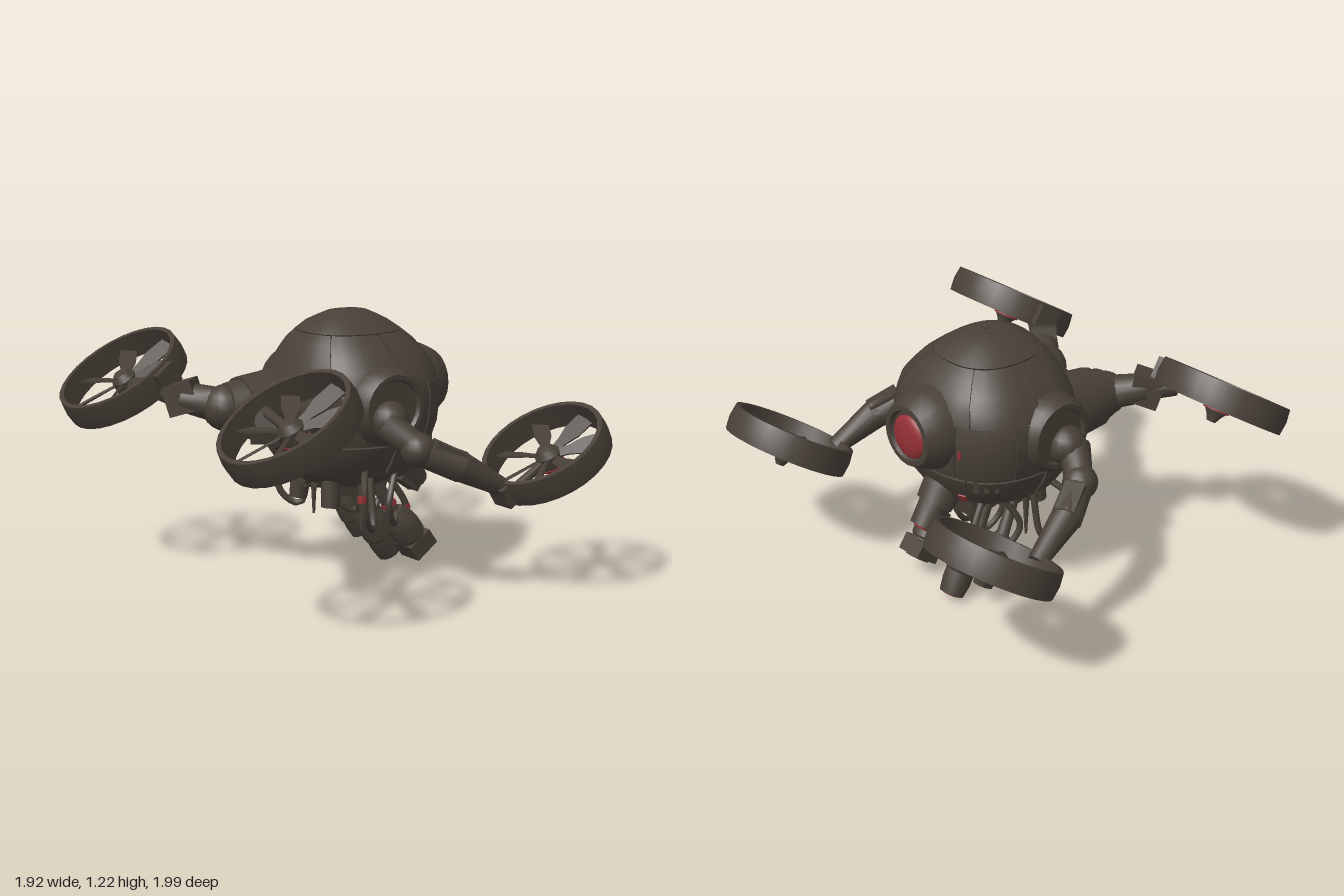
import * as THREE from 'three';
import { toCreasedNormals } from 'three/addons/utils/BufferGeometryUtils.js';

const hull = new THREE.MeshStandardMaterial({ color: 0x484038 });
hull.name = 'dark hull';
const red = new THREE.MeshStandardMaterial({ color: 0x943135 });
red.name = 'red lens';

const V = (x, y, z) => new THREE.Vector3(x, y, z);
const UP = V(0, 1, 0);

function add(parent, name, geo, mat = hull, crease = 0.6) {
  const mesh = new THREE.Mesh(toCreasedNormals(geo, crease), mat);
  mesh.name = name;
  parent.add(mesh);
  return mesh;
}

// Lathe of [radius, height] pairs, stood along the line from a towards b
function turned(parent, name, a, b, profile, mat = hull, sides = 16) {
  const mesh = add(parent, name, new THREE.LatheGeometry(profile.map(p => new THREE.Vector2(p[0], p[1])), sides), mat);
  mesh.position.copy(a);
  mesh.quaternion.setFromUnitVectors(UP, b.clone().sub(a).normalize());
  return mesh;
}

// Solid tapered rod between two points
function rod(parent, name, a, b, r0, r1 = r0, mat = hull, sides = 12) {
  const L = a.distanceTo(b);
  return turned(parent, name, a, b, [[0, 0], [r0, 0], [r1, L], [0, L]], mat, sides);
}

function ball(parent, name, p, r) {
  add(parent, name, new THREE.SphereGeometry(r, 16, 10)).position.copy(p);
}

function box(parent, name, p, size, rot = [0, 0, 0]) {
  const mesh = add(parent, name, new THREE.BoxGeometry(...size));
  mesh.position.copy(p);
  mesh.rotation.set(...rot);
}

function hose(parent, name, pts, r) {
  add(parent, name, new THREE.TubeGeometry(new THREE.CatmullRomCurve3(pts), 20, r, 7), hull, 1.2);
}

// Body sections from top to bottom: height, rear x, front x, half width
const sections = [
  [1.21, 0.09, 0.11, 0.005], [1.208, 0.01, 0.18, 0.07], [1.17, -0.08, 0.26, 0.15],
  [1.1, -0.15, 0.355, 0.25], [1.0, -0.2, 0.435, 0.345], [0.88, -0.24, 0.465, 0.395],
  [0.75, -0.26, 0.465, 0.385], [0.62, -0.25, 0.43, 0.345], [0.53, -0.19, 0.37, 0.29],
  [0.45, -0.11, 0.27, 0.18], [0.43, 0.09, 0.1, 0.005],
];

function bodyPoint(t, a, offset) {
  const i = Math.min(Math.floor(t), sections.length - 2);
  const [y, x0, x1, w] = sections[i].map((v, k) => THREE.MathUtils.lerp(v, sections[i + 1][k], t - i));
  const round = v => Math.sign(v) * Math.abs(v) ** 0.82;
  const p = V((x0 + x1) / 2 + (x1 - x0) / 2 * round(Math.cos(a)), y, w * round(Math.sin(a)));
  return p.addScaledVector(p.clone().sub(V(0.1, 0.82, 0)).normalize(), offset);
}

// Patch of the body surface, raised by an offset, with a skirt down to the hull
function panel(parent, name, t0, t1, a0, a1, offset, mat = hull) {
  const rows = Math.max(1, Math.round((t1 - t0) * 2)), cols = Math.max(2, Math.round((a1 - a0) / 0.17));
  const pos = [], index = [], W = cols + 3;
  for (let i = -1; i <= rows + 1; i++) for (let j = -1; j <= cols + 1; j++) {
    const ci = THREE.MathUtils.clamp(i, 0, rows), cj = THREE.MathUtils.clamp(j, 0, cols);
    const edge = ci !== i || cj !== j;
    const p = bodyPoint(t0 + (t1 - t0) * ci / rows, a0 + (a1 - a0) * cj / cols, edge && offset ? -0.01 : offset);
    pos.push(p.x, p.y, p.z);
  }
  for (let i = 0; i < rows + 2; i++) for (let j = 0; j < cols + 2; j++) {
    const k = i * W + j;
    index.push(k, k + 1, k + W + 1, k, k + W + 1, k + W);
  }
  const geo = new THREE.BufferGeometry();
  geo.setAttribute('position', new THREE.Float32BufferAttribute(pos, 3));
  geo.setIndex(index);
  add(parent, name, geo, mat, 0.45);
}

// Ducted fan; strutAngle is the heading of its support in the fan plane
function rotor(parent, name, pos, R, strutAngle) {
  const g = new THREE.Group();
  g.name = name;
  g.position.copy(pos);
  g.rotation.z = 0.56;
  parent.add(g);
  const h = 0.06, ri = R - 0.03;
  add(g, 'duct', new THREE.LatheGeometry([[ri, -h], [R - 0.006, -h], [R, 0], [R - 0.008, h], [ri, h], [ri, -h]]
    .map(p => new THREE.Vector2(...p)), 28));
  turned(g, 'hub', V(0, -0.125, 0), V(0, 1, 0), [[0, 0], [0.02, 0], [0.035, 0.03], [0.058, 0.06], [0.058, 0.12], [0.035, 0.15], [0, 0.155]]);
  turned(g, 'hubBand', V(0, -0.074, 0), V(0, 1, 0), [[0.045, 0], [0.061, 0.001], [0.062, 0.011], [0.05, 0.012]], red);
  const shape = new THREE.Shape([[0.03, -0.018], [0.1, -0.024], [0.17, -0.042], [ri + 0.004, -0.042],
    [ri + 0.006, 0.036], [0.17, 0.036], [0.1, 0.02], [0.03, 0.018]].map(p => new THREE.Vector2(...p)));
  for (let i = 0; i < 7; i++) {
    const holder = new THREE.Group();
    holder.name = 'bladeHolder';
    holder.rotation.y = strutAngle + (i + 0.5) * Math.PI * 2 / 7;
    g.add(holder);
    const blade = add(holder, 'blade', new THREE.ExtrudeGeometry(shape, { depth: 0.01, bevelEnabled: false }));
    blade.rotation.x = Math.PI / 2 + 0.5;
    blade.position.y = -0.015;
  }
  const dir = V(Math.cos(strutAngle), 0, -Math.sin(strutAngle));
  rod(g, 'strut', dir.clone().multiplyScalar(R).setY(-0.02), V(0, -0.03, 0), 0.024, 0.018);
  box(g, 'ductClamp', dir.clone().multiplyScalar(R), [0.05, 0.1, 0.11], [0, strutAngle, 0]);
}

// Hanging probe with a stepped barrel
function probe(parent, name, a, b, r, tip) {
  const L = a.distanceTo(b);
  turned(parent, name, a, b, [[0, 0], [r * 0.55, 0], [r * 0.9, L * 0.2], [r, L * 0.35], [r, L * 0.6],
    [r * 0.88, L * 0.64], [r * 0.88, L * 0.8], [r * 0.75, L], [0, L]], hull, 12);
  if (tip) rod(parent, name + 'Lens', b, b.clone().add(b.clone().sub(a).setLength(0.006)), r * 0.55, r * 0.5, red);
}

export function createModel() {
  const model = new THREE.Group();
  model.name = 'quadrotorDrone';

  // Hull and raised armour plates
  panel(model, 'body', 0, 10, 0, Math.PI * 2, 0);
  const gap = 0.014, P = Math.PI;
  panel(model, 'crownPlate', 0, 2.6, 0, P * 2, 0.012);
  [[-0.6, 0.6], [0.6, 1.57], [1.57, 2.5], [2.5, 3.78], [3.78, 4.71], [4.71, 5.68]].forEach(([a, b]) =>
    panel(model, 'upperPlate', 2.64, 4.6, a + gap, b - gap, 0.012));
  for (let i = 0; i < 8; i++) panel(model, 'waistPlate', 4.64, 6.6, (i - 0.5) * P / 4 + gap, (i + 0.5) * P / 4 - gap, 0.01);
  for (let i = 0; i < 6; i++) panel(model, 'lowerPlate', 6.65, 8, (i - 0.5) * P / 3 + gap, (i + 0.5) * P / 3 - gap, 0.012);
  panel(model, 'sensorLight', 7.55, 7.97, -0.46, -0.34, 0.017, red);
  panel(model, 'cheekLight', 5.45, 5.75, -0.475, -0.44, 0.014, red);

  // Rear housing between the shoulders
  turned(model, 'rearHousing', V(-0.15, 0.79, 0), V(-1, 0.79, 0), [[0, 0], [0.17, 0], [0.15, 0.15], [0.1, 0.21], [0, 0.225]]);

  // Main eye
  turned(model, 'eyeHousing', V(0.38, 0.86, 0), V(1.38, 0.86, 0),
    [[0.19, 0], [0.185, 0.09], [0.165, 0.14], [0.14, 0.185], [0.115, 0.187], [0.105, 0.165], [0, 0.165]], hull, 20);
  const eye = add(model, 'eyeLens', new THREE.SphereGeometry(0.1, 24, 14), red);
  eye.position.set(0.545, 0.85, 0);
  eye.scale.x = 0.32;

  // Chin camera
  rod(model, 'chinMount', V(0.3, 0.62, 0), V(0.42, 0.47, 0), 0.11, 0.085);
  rod(model, 'chinBarrel', V(0.4, 0.49, 0), V(0.49, 0.38, 0), 0.075, 0.06);
  rod(model, 'chinLens', V(0.49, 0.38, 0), V(0.496, 0.373, 0), 0.042, 0.036, red);
  box(model, 'chinBracket', V(0.43, 0.4, 0), [0.12, 0.06, 0.1], [0, 0, -0.6]);

  for (const s of [1, -1]) {
    const side = s > 0 ? 'left' : 'right';
    const q = (x, y, z) => V(x, y, z * s);

    // Vent slots on the cheeks
    for (let i = 0; i < 3; i++) box(model, 'ventFin', q(0.38 - i * 0.035, 0.65, 0.24 + i * 0.027), [0.02, 0.08, 0.02], [0, -s * 0.8, 0]);

    // Front shoulder and arm
    turned(model, side + 'ShoulderDisc', q(0.05, 0.84, 0.34), q(0.05, 0.84, 1),
      [[0, 0], [0.18, 0], [0.17, 0.06], [0.15, 0.09], [0.13, 0.09], [0.12, 0.075], [0, 0.075]], hull, 20);
    ball(model, side + 'ShoulderBall', q(0.02, 0.79, 0.42), 0.088);
    rod(model, side + 'FrontUpperArm', q(-0.01, 0.78, 0.44), q(0.07, 0.69, 0.55), 0.07, 0.062);
    ball(model, side + 'FrontElbow', q(0.07, 0.68, 0.56), 0.078);
    rod(model, side + 'FrontForearm', q(0.07, 0.68, 0.56), q(0.24, 0.6, 0.65), 0.065, 0.07);
    rod(model, side + 'FrontWrist', q(0.22, 0.61, 0.64), q(0.44, 0.49, 0.685), 0.07, 0.042);
    box(model, side + 'ForearmGuard', q(0.18, 0.65, 0.62), [0.15, 0.09, 0.09], [0, -s * 0.45, -0.45]);
    rotor(model, side + 'FrontRotor', q(0.685, 0.615, 0.69), 0.293, P);

    // Rear shoulder and arm
    rod(model, side + 'RearShoulder', q(-0.12, 0.8, 0.17), q(-0.37, 0.795, 0.175), 0.165, 0.14, hull, 18);
    rod(model, side + 'RearCollar', q(-0.36, 0.795, 0.175), q(-0.44, 0.8, 0.185), 0.132, 0.112, hull, 18);
    ball(model, side + 'RearJoint', q(-0.43, 0.8, 0.195), 0.105);
    rod(model, side + 'RearUpperArm', q(-0.45, 0.81, 0.22), q(-0.56, 0.84, 0.34), 0.08, 0.068);
    box(model, side + 'RearElbow', q(-0.56, 0.84, 0.34), [0.14, 0.14, 0.12], [0, s * 0.85, 0.3]);
    rod(model, side + 'RearWrist', q(-0.56, 0.84, 0.34), q(-0.63, 0.87, 0.45), 0.058, 0.05);
    rotor(model, side + 'RearRotor', q(-0.675, 0.89, 0.689), 0.307, s * 1.35);

    // Hanging side hoses
    hose(model, side + 'SideHose', [q(0.0, 0.56, 0.27), q(-0.06, 0.48, 0.35), q(-0.04, 0.33, 0.34), q(0.03, 0.28, 0.29), q(0.05, 0.5, 0.24)], 0.016);
    rod(model, side + 'HoseBand', q(-0.073, 0.455, 0.352), q(-0.075, 0.425, 0.354), 0.02, 0.02, red);
    hose(model, side + 'FrontHose', [q(0.2, 0.5, 0.22), q(0.14, 0.36, 0.26), q(0.2, 0.26, 0.22), q(0.24, 0.32, 0.18)], 0.015);
    hose(model, side + 'InnerHose', [q(0.1, 0.46, 0.12), q(0.1, 0.33, 0.08), q(0.17, 0.27, 0.06), q(0.24, 0.34, 0.05), q(0.26, 0.48, 0.08)], 0.014);
    hose(model, side + 'ToolHose', [q(0.2, 0.5, 0.1), q(0.28, 0.4, 0.13), q(0.33, 0.3, 0.14), q(0.33, 0.2, 0.13)], 0.016);
    rod(model, side + 'Antenna', q(0.04, 0.48, 0.19), q(0.04, 0.25, 0.19), 0.018, 0.006);
    rod(model, side + 'RearCanister', q(-0.07, 0.52, 0.12), q(-0.09, 0.36, 0.13), 0.05, 0.04);
    box(model, side + 'BellyBlock', q(0.02, 0.44, 0.11), [0.22, 0.07, 0.1], [0, 0, -0.1]);
    rod(model, side + 'BellyPipe', q(-0.12, 0.47, 0.05), q(0.24, 0.42, 0.07), 0.03);
  }

  // Belly machinery and hanging tool arms
  box(model, 'bellyCore', V(0.13, 0.43, 0), [0.26, 0.1, 0.16], [0, 0, -0.2]);
  rod(model, 'mainToolArm', V(0.15, 0.46, -0.07), V(0.25, 0.27, -0.08), 0.03, 0.035);
  probe(model, 'mainTool', V(0.24, 0.29, -0.08), V(0.395, 0.03, -0.08), 0.076, true);
  rod(model, 'leftToolArm', V(0.14, 0.46, 0.15), V(0.24, 0.29, 0.17), 0.028, 0.032);
  probe(model, 'leftTool', V(0.235, 0.31, 0.17), V(0.385, 0.1, 0.17), 0.075, false);
  box(model, 'leftToolClamp', V(0.36, 0.14, 0.17), [0.08, 0.13, 0.13], [0, 0, -0.95]);
  rod(model, 'rightToolArm', V(0.13, 0.46, -0.2), V(0.22, 0.3, -0.22), 0.026, 0.03);
  probe(model, 'rightTool', V(0.21, 0.33, -0.22), V(0.33, 0.11, -0.22), 0.06, false);
  rod(model, 'toolBand', V(0.205, 0.35, 0.165), V(0.213, 0.335, 0.167), 0.036, 0.036, red);
  rod(model, 'toolHoseBand', V(0.322, 0.32, 0.139), V(0.33, 0.3, 0.14), 0.02, 0.02, red);
  return model;
}
